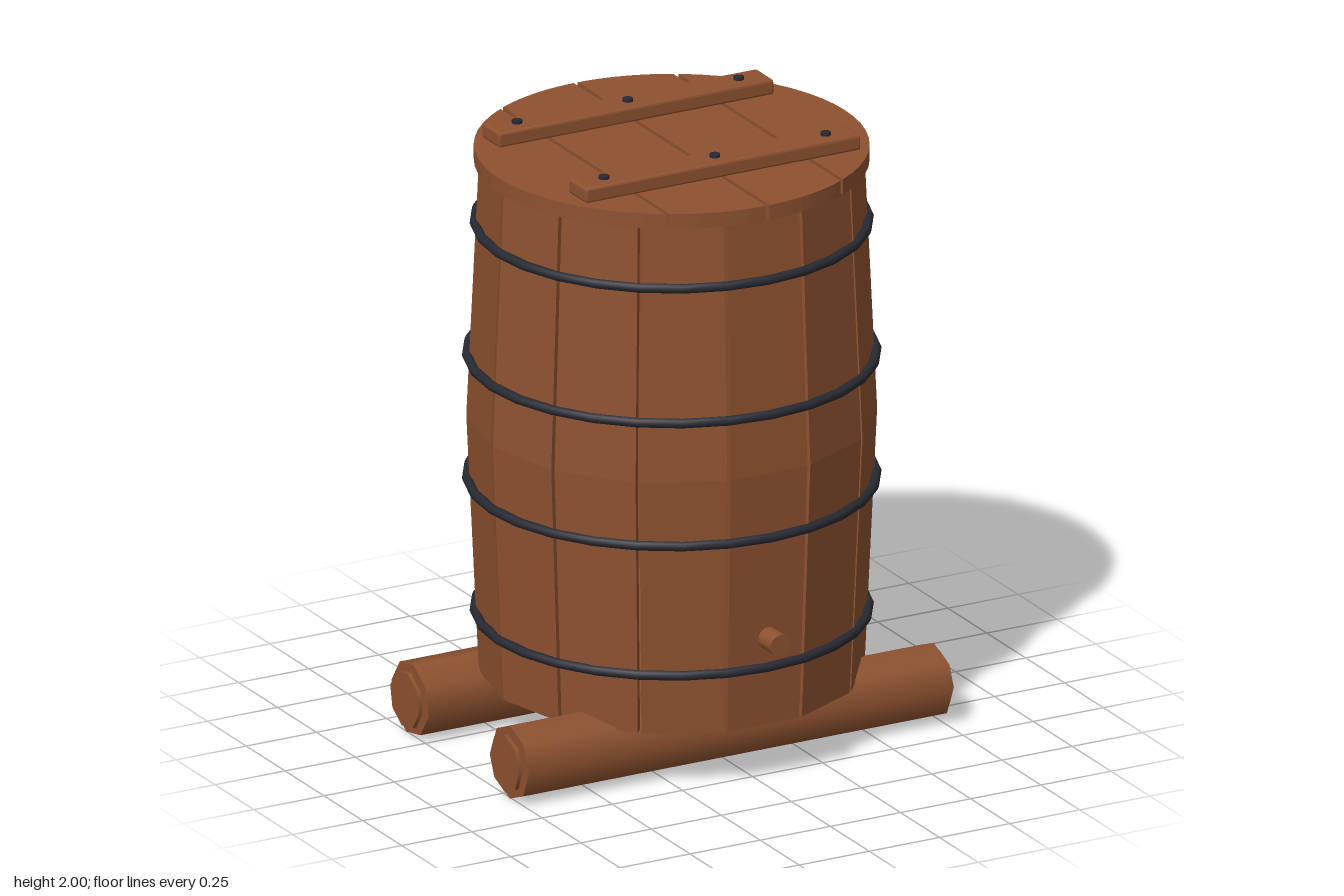
import * as THREE from 'three';
import { toCreasedNormals } from 'three/addons/utils/BufferGeometryUtils.js';
import { RoundedBoxGeometry } from 'three/addons/geometries/RoundedBoxGeometry.js';

const STAVES = 14;

// One stave: a bent plank made from rectangular cross-sections [y, outer radius]
function staveGeometry(sections, thickness, halfAngle) {
  const position = [], index = [];
  for (const [y, r] of sections) {
    for (const [radius, a] of [[r, -halfAngle], [r, halfAngle], [r - thickness, halfAngle], [r - thickness, -halfAngle]]) {
      position.push(radius * Math.sin(a), y, radius * Math.cos(a));
    }
  }
  const quad = (a, b, c, d) => index.push(a, b, c, a, c, d);
  const last = (sections.length - 1) * 4;
  for (let s = 0; s < last; s += 4) {
    for (let i = 0; i < 4; i++) {
      const j = (i + 1) % 4;
      quad(s + i, s + j, s + 4 + j, s + 4 + i);
    }
  }
  quad(3, 2, 1, 0);
  quad(last, last + 1, last + 2, last + 3);
  const geo = new THREE.BufferGeometry();
  geo.setAttribute('position', new THREE.Float32BufferAttribute(position, 3));
  geo.setIndex(index);
  return toCreasedNormals(geo, 0.01);
}

// Strip of a disc between x = a and x = b, lying flat with its base at y = 0
function lidPlankGeometry(radius, a, b, depth) {
  const pts = [], steps = 10;
  const a0 = Math.acos(a / radius), b0 = Math.acos(b / radius);
  for (let i = 0; i <= steps; i++) {
    const t = b0 + (a0 - b0) * i / steps;
    pts.push(new THREE.Vector2(radius * Math.cos(t), radius * Math.sin(t)));
  }
  for (let i = steps; i >= 0; i--) {
    const p = pts[i];
    if (p.y > 0.001) pts.push(new THREE.Vector2(p.x, -p.y));
  }
  const geo = new THREE.ExtrudeGeometry(new THREE.Shape(pts), { depth, bevelEnabled: false });
  return geo.rotateX(-Math.PI / 2);
}

export function createModel() {
  const wood = new THREE.MeshStandardMaterial({ color: 0x8e5230 });
  wood.name = 'brown wood';
  const iron = new THREE.MeshStandardMaterial({ color: 0x282a33 });
  iron.name = 'dark iron';

  const model = new THREE.Group();
  model.name = 'barrel on logs';
  const barrel = new THREE.Group();
  barrel.name = 'barrel';
  barrel.position.z = -0.02;
  model.add(barrel);

  const add = (parent, name, geo, mat, x = 0, y = 0, z = 0) => {
    const mesh = new THREE.Mesh(geo, mat);
    mesh.name = name;
    mesh.position.set(x, y, z);
    parent.add(mesh);
    return mesh;
  };

  // Staves with narrow open gaps between them
  const stave = staveGeometry([[0.2, 0.602], [1.05, 0.641], [1.89, 0.602]], 0.04, Math.PI / STAVES - 0.0095);
  for (let i = 0; i < STAVES; i++) {
    add(barrel, 'stave', stave, wood).rotation.y = i * 2 * Math.PI / STAVES;
  }

  // Recessed floor
  add(barrel, 'floor', new THREE.CylinderGeometry(0.55, 0.55, 0.045, 28), wood, 0, 0.3, 0);

  // Iron hoops
  for (const [y, r] of [[0.4, 0.615], [0.84, 0.639], [1.25, 0.639], [1.69, 0.615]]) {
    add(barrel, 'hoop', new THREE.TorusGeometry(r, 0.016, 8, 28).rotateX(Math.PI / 2), iron, 0, y, 0);
  }

  // Lid of four planks
  const R = 0.617, g = 0.007, cut = 0.31;
  for (const [a, b] of [[-R, -cut - g], [-cut + g, -g], [g, cut - g], [cut + g, R]]) {
    add(barrel, 'lidPlank', lidPlankGeometry(R, a, b, 0.05), wood, 0, 1.89, 0);
  }

  // Battens across the lid, each held by three nails
  const batten = toCreasedNormals(new RoundedBoxGeometry(0.98, 0.05, 0.115, 1, 0.008), 0.3);
  const nail = new THREE.CylinderGeometry(0.017, 0.017, 0.03, 10);
  for (const z of [-0.302, 0.257]) {
    add(model, 'batten', batten, wood, 0, 1.965, z);
    for (const x of [-0.395, 0, 0.395]) add(model, 'nail', nail, iron, x, 1.985, z);
  }

  // Bung peg in the front
  add(model, 'peg', new THREE.CylinderGeometry(0.036, 0.036, 0.08, 16).rotateX(Math.PI / 2), wood, 0, 0.5, 0.64);

  // Two supporting logs with small end discs
  const log = new THREE.CylinderGeometry(0.121, 0.121, 1.51, 8).rotateZ(Math.PI / 2);
  const disc = new THREE.CylinderGeometry(0.094, 0.094, 0.013, 8).rotateZ(Math.PI / 2);
  for (const [z, turn] of [[0.302, 0], [-0.34, 0.2]]) {
    const group = new THREE.Group();
    group.name = 'log';
    group.position.set(0, 0.125, z);
    group.rotation.x = turn;
    add(group, 'logBody', log, wood);
    for (const side of [-1, 1]) add(group, 'logEnd', disc, wood, side * 0.768);
    model.add(group);
  }

  return model;
}
